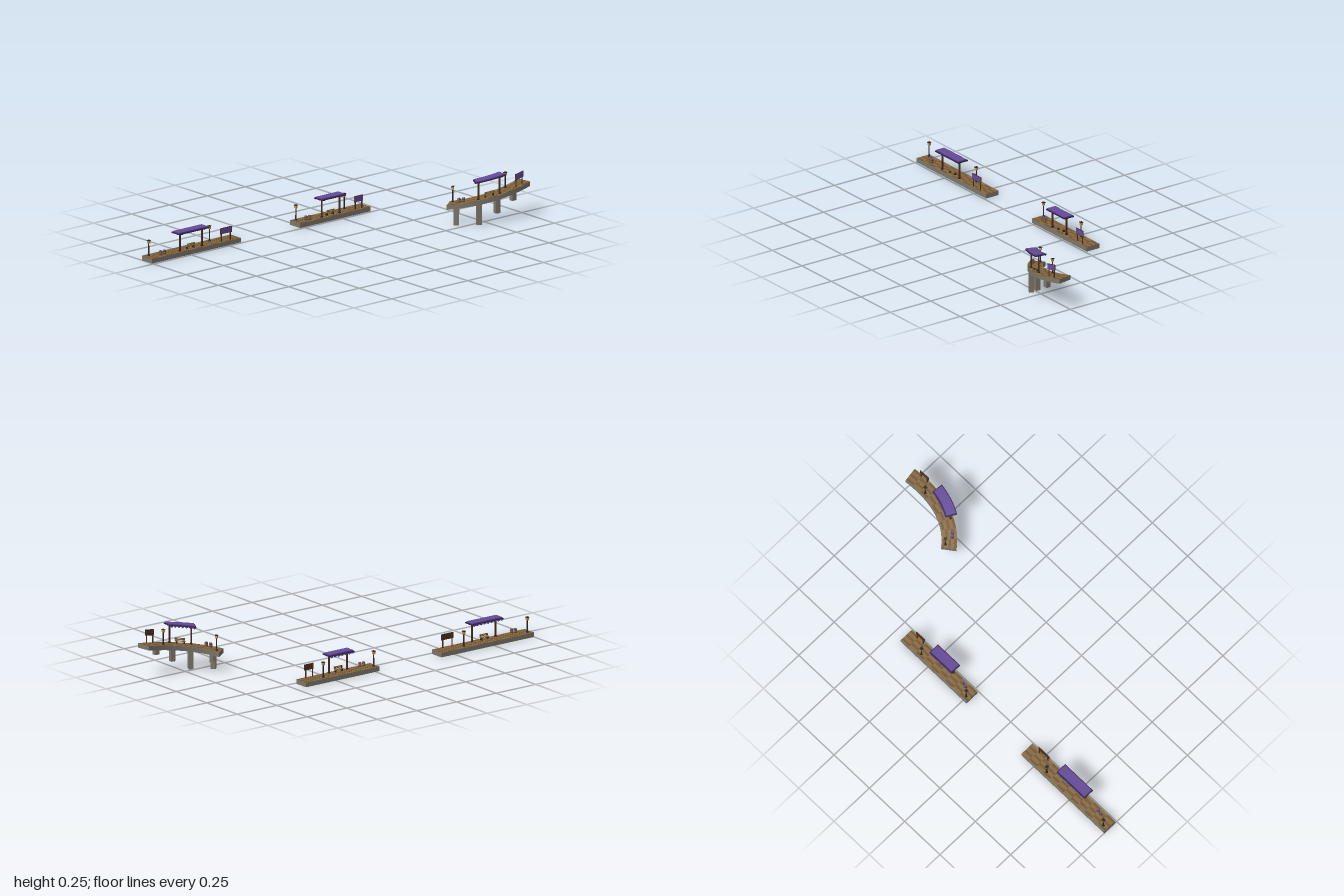
import * as THREE from 'three';

const paint = (color) => new THREE.MeshStandardMaterial({ color, flatShading: true });
const M = {
  stone: paint(0x7d776b), wood: paint(0x8c6b3d), wood2: paint(0x775831), brown: paint(0x4a2f1d),
  iron: paint(0x2a2829), purple: paint(0x654a9a), deep: paint(0x34234f), glow: paint(0xc79a4b),
};

// One platform laid along a plan curve (x, z), starting at height base and climbing by rise.
// Parts are made in track space: x = distance along, y = height over base, z = offset to the side.
function buildPlatform(name, curve, base, rise, piers) {
  const group = new THREE.Group();
  group.name = name;
  curve.arcLengthDivisions = 400;
  const L = curve.getLength();

  const add = (part, geometry, material, level = false) => {
    const geo = geometry.index ? geometry.toNonIndexed() : geometry;
    const p = geo.attributes.position;
    for (let i = 0; i < p.count; i++) {
      const u = p.getX(i) / L, w = p.getZ(i);
      const uc = THREE.MathUtils.clamp(u, 0, 1);
      const c = curve.getPointAt(uc), t = curve.getTangentAt(uc);
      const y = level ? p.getY(i) : base + rise * u + p.getY(i);
      p.setXYZ(i, c.x - t.y * w, y, c.y + t.x * w);
    }
    geo.computeVertexNormals();
    const mesh = new THREE.Mesh(geo, material);
    mesh.name = part;
    group.add(mesh);
  };
  const box = (part, mat, x0, x1, y0, y1, z0, z1, level) => {
    const n = Math.max(1, Math.ceil((x1 - x0) / 0.02));
    const g = new THREE.BoxGeometry(x1 - x0, y1 - y0, z1 - z0, n, 1, 1);
    g.translate((x0 + x1) / 2, (y0 + y1) / 2, (z0 + z1) / 2);
    add(part, g, mat, level);
  };
  const cyl = (part, mat, x, y0, y1, z, rTop, rBottom, sides) => {
    const g = new THREE.CylinderGeometry(rTop, rBottom, y1 - y0, sides);
    g.translate(x, (y0 + y1) / 2, z);
    add(part, g, mat);
  };

  // Stone slab with rows of planks between two stone kerbs
  box('slab', M.stone, 0, L, 0, 0.0225, -0.039, 0.039);
  box('trackKerb', M.stone, 0, L, 0.0225, 0.0242, -0.039, -0.035);
  const rows = 5, bays = Math.round(L / 0.05), rowWidth = 0.073 / rows;
  for (let r = 0; r < rows; r++)
    for (let b = 0; b < bays; b++) {
      const z = -0.0345 + r * rowWidth;
      box('plank', (r + b) % 2 ? M.wood : M.wood2, (b * L) / bays + 0.0006, ((b + 1) * L) / bays - 0.0006,
        0.0225, 0.0238, z + 0.0008, z + rowWidth - 0.0008);
    }
  const top = 0.0238;

  // Canopy: two posts, beam, roof in two layers, pointed trim on the track side
  const r0 = 0.29 * L, r1 = 0.627 * L;
  for (const x of [0.335 * L, 0.585 * L]) {
    box('canopyPost', M.brown, x - 0.0035, x + 0.0035, top, 0.118, 0.0205, 0.0275);
    box('canopyPostFoot', M.iron, x - 0.005, x + 0.005, top, top + 0.006, 0.019, 0.029);
    box('canopyBracket', M.brown, x - 0.002, x + 0.002, 0.113, 0.118, -0.008, 0.046);
  }
  box('canopyBeam', M.brown, r0 + 0.006, r1 - 0.006, 0.114, 0.118, 0.0215, 0.0265);
  box('canopyRoof', M.deep, r0, r1, 0.118, 0.1235, -0.01, 0.051);
  box('canopyRoofTop', M.purple, r0 + 0.005, r1 - 0.005, 0.1235, 0.128, -0.003, 0.046);
  const teeth = Math.round((r1 - r0) / 0.021), step = (r1 - r0) / teeth;
  for (let i = 0; i < teeth; i++) {
    const x = r0 + i * step;
    const tooth = new THREE.Shape([[x, 0.1195], [x + step / 2, 0.1105], [x + step, 0.1195]]
      .map(([a, b]) => new THREE.Vector2(a, b)));
    const g = new THREE.ExtrudeGeometry(tooth, { depth: 0.002, bevelEnabled: false });
    g.translate(0, 0, -0.0115);
    add('canopyTrim', g, M.purple);
  }

  // Lamps
  for (const x of [0.046 * L, 0.73 * L]) {
    const z = -0.018;
    cyl('lampFoot', M.iron, x, top, top + 0.007, z, 0.005, 0.007, 8);
    cyl('lampPole', M.iron, x, top, 0.088, z, 0.003, 0.0035, 8);
    box('lantern', M.glow, x - 0.006, x + 0.006, 0.088, 0.102, z - 0.006, z + 0.006);
    box('lanternCap', M.iron, x - 0.008, x + 0.008, 0.102, 0.1045, z - 0.008, z + 0.008);
    box('lanternKnob', M.iron, x - 0.003, x + 0.003, 0.1045, 0.107, z - 0.003, z + 0.003);
  }

  // Bench facing the track
  const b = 0.465 * L;
  for (const s of [-1, 1]) box('benchLeg', M.iron, b + s * 0.02 - 0.002, b + s * 0.02 + 0.002, top, 0.036, 0.009, 0.021);
  box('benchSeat', M.wood, b - 0.026, b + 0.026, 0.036, 0.039, 0.007, 0.022);
  for (const y of [0.042, 0.048]) box('benchBack', M.wood, b - 0.026, b + 0.026, y, y + 0.0045, 0.02, 0.0225);
  for (const s of [-1, 1]) box('benchBackPost', M.iron, b + s * 0.02 - 0.0015, b + s * 0.02 + 0.0015, 0.036, 0.052, 0.018, 0.02);

  // Barrels with coloured lids
  const c = 0.152 * L;
  [[-0.011, 0.014], [0.01, 0.018]].forEach(([dx, z]) => {
    cyl('barrel', M.wood, c + dx, top, 0.045, z, 0.008, 0.008, 8);
    for (const y of [0.028, 0.039]) cyl('barrelHoop', M.iron, c + dx, y, y + 0.002, z, 0.0086, 0.0086, 8);
    cyl('barrelLid', M.purple, c + dx, 0.045, 0.0475, z, 0.007, 0.0075, 8);
  });

  // Notice board
  const s0 = 0.783 * L, s1 = 0.91 * L;
  for (const x of [s0 + 0.008, s1 - 0.008]) box('boardPost', M.brown, x - 0.0025, x + 0.0025, top, 0.09, 0.026, 0.03);
  box('boardBack', M.brown, s0, s1, 0.063, 0.094, 0.028, 0.031);
  box('boardPanel', M.purple, s0 + 0.0025, s1 - 0.0025, 0.0655, 0.0915, 0.031, 0.0325);

  // Piers under the slab: [fraction along, side offset, foot height]
  for (const [u, z, foot] of piers)
    box('pier', M.stone, u * L - 0.012, u * L + 0.012, foot, base + rise * u + 0.004, z - 0.012, z + 0.012, true);
  return group;
}

export function createModel() {
  const model = new THREE.Group();
  const v = (x, z) => new THREE.Vector2(x, z);
  model.add(
    buildPlatform('longPlatform', new THREE.LineCurve(v(-1, -0.299), v(-0.414, -0.299)), 0, 0, []),
    buildPlatform('shortPlatform', new THREE.LineCurve(v(-0.024, -0.299), v(0.441, -0.299)), 0, 0, []),
    buildPlatform('curvedPlatform',
      new THREE.QuadraticBezierCurve(v(0.596, 0.155), v(0.72, 0.321), v(0.992, 0.278)), 0.08, 0.074,
      [[0.1, 0.025, 0], [0.1, -0.025, 0.05], [0.34, 0.025, 0], [0.55, 0.025, 0.05], [0.76, 0.025, 0.1]]),
  );
  return model;
}
